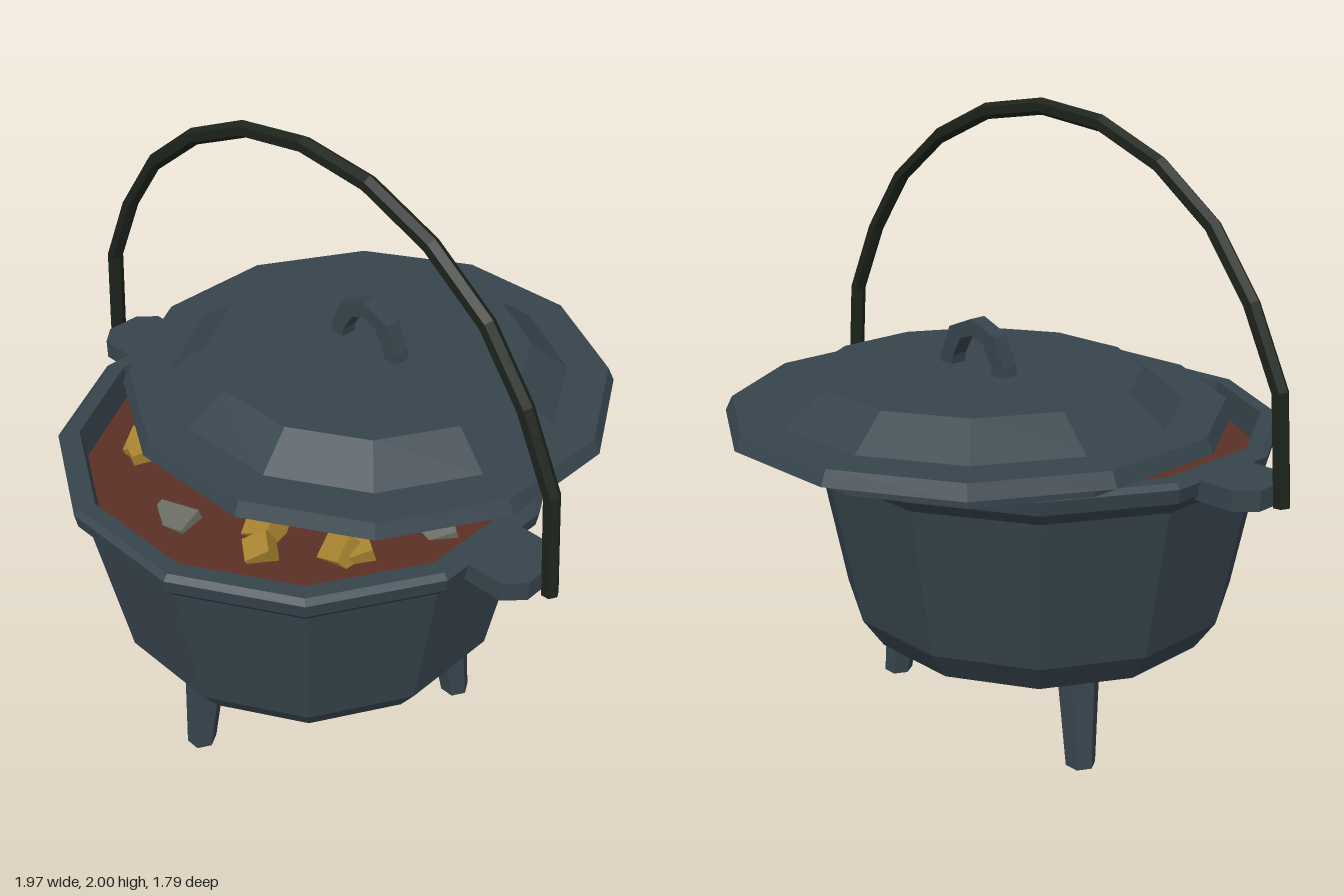
import * as THREE from 'three';

const mat = (name, color) => {
  const m = new THREE.MeshStandardMaterial({ color });
  m.name = name;
  return m;
};

// Faceted normals
function flat(geo) {
  const g = geo.index ? geo.toNonIndexed() : geo;
  g.computeVertexNormals();
  return g;
}

// Twelve-sided turned solid; profile is [flat-to-centre distance, height]
function turned(profile) {
  const k = 1 / Math.cos(Math.PI / 12);
  const pts = profile.map(([r, y]) => new THREE.Vector2(r * k, y));
  return flat(new THREE.LatheGeometry(pts, 12, Math.PI / 12));
}

// Bar of `sides` faces swept along points in the x-y plane, mitred and capped
function bar(points, radius, sides) {
  const pos = [], idx = [], n = points.length;
  points.forEach(([x, y], i) => {
    const a = points[Math.max(i - 1, 0)], b = points[Math.min(i + 1, n - 1)];
    const t = new THREE.Vector2(b[0] - a[0], b[1] - a[1]).normalize();
    for (let j = 0; j < sides; j++) {
      const w = (j / sides) * Math.PI * 2, c = radius * Math.cos(w);
      pos.push(x - t.y * c, y + t.x * c, radius * Math.sin(w));
    }
  });
  for (let i = 0; i < n - 1; i++) {
    for (let j = 0; j < sides; j++) {
      const a = i * sides + j, d = i * sides + ((j + 1) % sides);
      const b = a + sides, c = d + sides;
      idx.push(a, d, c, a, c, b);
    }
  }
  const last = (n - 1) * sides;
  for (let j = 1; j < sides - 1; j++) {
    idx.push(0, j + 1, j, last, last + j, last + j + 1);
  }
  const g = new THREE.BufferGeometry();
  g.setAttribute('position', new THREE.Float32BufferAttribute(pos, 3));
  g.setIndex(idx);
  return flat(g);
}

// Polygon extruded in z, centred on z = 0
function plate(points, depth) {
  const shape = new THREE.Shape(points.map(([x, y]) => new THREE.Vector2(x, y)));
  return new THREE.ExtrudeGeometry(shape, { depth, bevelEnabled: false }).translate(0, 0, -depth / 2);
}

const mirrored = (half) => [
  ...half,
  ...half.slice(0, -1).reverse().map(([x, y]) => [-x, y]),
];

export function createModel() {
  const iron = mat('cast iron', 0x37444d);
  const soot = mat('sooty base', 0x413a37);
  const wire = mat('dark handle', 0x1c241b);
  const broth = mat('broth', 0x5a3025);
  const gold = mat('golden vegetable', 0xa8832f);
  const grey = mat('grey meat', 0x6b6f66);

  const model = new THREE.Group();
  model.name = 'cookingPot';
  const add = (name, geo, material, parent = model) => {
    const m = new THREE.Mesh(geo, material);
    m.name = name;
    parent.add(m);
    return m;
  };

  // Pot, centred a little forward of the origin
  const pot = new THREE.Group();
  pot.name = 'pot';
  pot.position.z = 0.14;
  model.add(pot);
  add('potBody', turned([
    [0.555, 0.3], [0.622, 0.4], [0.715, 0.9], [0.75, 0.94],
    [0.758, 0.985], [0.74, 1], [0.692, 1], [0.672, 0.88],
  ]), iron, pot);
  add('potBase', turned([[0, 0.25], [0.415, 0.25], [0.555, 0.3]]), soot, pot);
  add('broth', turned([[0.68, 0.905], [0, 0.905]]), broth, pot);

  // Three splayed legs
  for (let i = 0; i < 3; i++) {
    const g = new THREE.CylinderGeometry(0.072, 0.048, 0.36, 6).rotateY(Math.PI / 6);
    g.translate(0, 0.18, 0);
    const p = g.attributes.position;
    for (let v = 0; v < p.count; v++) {
      p.setZ(v, p.getZ(v) + 0.512 - 0.13 * p.getY(v));
    }
    add('leg', flat(g), iron, pot).rotation.y = (i * Math.PI * 2) / 3;
  }

  // Side lugs with clipped corners
  for (const s of [1, -1]) {
    const lug = plate([
      [0.71, -0.115], [0.875, -0.115], [0.928, -0.058],
      [0.928, 0.058], [0.875, 0.115], [0.71, 0.115],
    ], 0.063).rotateX(-Math.PI / 2);
    const m = add(s > 0 ? 'leftLug' : 'rightLug', lug, iron, pot);
    m.position.y = 0.959;
    m.rotation.y = s > 0 ? 0 : Math.PI;
  }

  // Tall carrying handle
  add('carryingHandle', bar(mirrored([
    [-0.96, 0.935], [-0.932, 1.265], [-0.82, 1.497], [-0.675, 1.693],
    [-0.473, 1.846], [-0.245, 1.943], [0, 1.975],
  ]), 0.026, 6), wire, pot);

  // Lid, pushed back so the front of the pot is open
  const lid = new THREE.Group();
  lid.name = 'lid';
  lid.position.z = -0.132;
  model.add(lid);
  add('lidCover', turned([
    [0, 1.002], [0.66, 1.002], [0.66, 1.06], [0.763, 1.06],
    [0.742, 1.105], [0.615, 1.105], [0.495, 1.2], [0, 1.2],
  ]), iron, lid);
  const outer = mirrored([[-0.145, 1.195], [-0.138, 1.23], [-0.1, 1.32], [0, 1.36]]);
  const inner = mirrored([[-0.09, 1.195], [-0.086, 1.23], [-0.05, 1.29], [0, 1.307]]);
  add('lidHandle', plate([...outer, ...inner.reverse()], 0.055), iron, lid);

  // Chunks floating in the broth: x, z, size, turn, tilt
  const chunks = new THREE.Group();
  chunks.name = 'chunks';
  model.add(chunks);
  [
    [-0.39, 0.48, 0.1, 0.5, 0.3], [-0.37, 0.52, 0.07, 1.2, 0.1],
    [0.17, 0.48, 0.1, 0.4, 0.5], [0.24, 0.57, 0.08, 0.9, 0.4],
    [0.41, 0.41, 0.09, 0.2, 0.6], [0.45, 0.37, 0.07, 1, 0.2],
  ].forEach(([x, z, s, turn, tilt]) => {
    const m = add('goldenChunk', new THREE.BoxGeometry(s, s * 0.8, s), gold, chunks);
    m.position.set(x, 0.92, z);
    m.rotation.set(tilt, turn, tilt * 0.5);
  });
  [[-0.07, 0.64, 0.2], [0.52, 0.14, 0.9]].forEach(([x, z, turn]) => {
    const m = add('greyChunk', new THREE.BoxGeometry(0.15, 0.04, 0.09), grey, chunks);
    m.position.set(x, 0.895, z);
    m.rotation.set(0.22, turn, 0.14);
  });

  return model;
}
